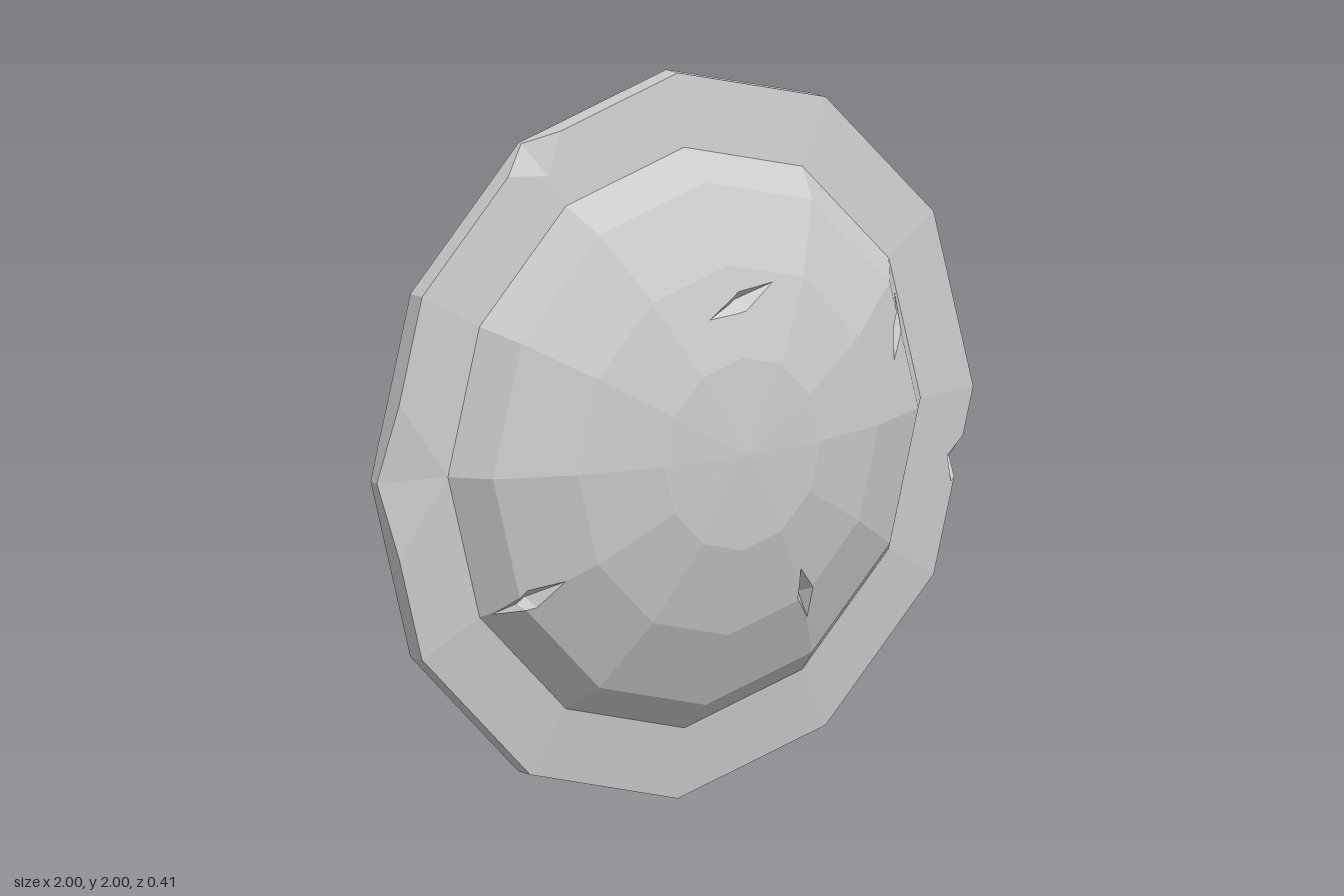
import * as THREE from 'three';

const material = new THREE.MeshStandardMaterial({ color: 0xcccccc, flatShading: true, side: THREE.DoubleSide });
const V = (x, y, z) => new THREE.Vector3(x, y, z);

// Mesh from a flat list of triangle corners
function meshFrom(corners, name) {
  const geo = new THREE.BufferGeometry().setFromPoints(corners);
  geo.computeVertexNormals();
  const mesh = new THREE.Mesh(geo, material);
  mesh.name = name;
  return mesh;
}

// Skin a row of equal cross-section loops and close both ends
function loft(rings, name) {
  const out = [], n = rings[0].length;
  for (let i = 0; i + 1 < rings.length; i++) {
    for (let j = 0; j < n; j++) {
      const k = (j + 1) % n, a = rings[i], b = rings[i + 1];
      out.push(a[j], a[k], b[k], a[j], b[k], b[j]);
    }
  }
  const first = rings[0], last = rings[rings.length - 1];
  for (let j = 1; j + 1 < n; j++) {
    out.push(first[0], first[j + 1], first[j], last[0], last[j], last[j + 1]);
  }
  return meshFrom(out, name);
}

// Split a convex polygon by the line f = 0 into its two sides
function split(poly, f) {
  const pos = [], neg = [];
  poly.forEach((p, i) => {
    const q = poly[(i + 1) % poly.length], a = f(p), b = f(q);
    if (a >= -1e-7) pos.push(p);
    if (a <= 1e-7) neg.push(p);
    if ((a > 1e-7 && b < -1e-7) || (a < -1e-7 && b > 1e-7)) {
      const m = p.clone().lerp(q, a / (a - b));
      pos.push(m);
      neg.push(m);
    }
  });
  return [pos, neg].filter((s) => s.length > 2);
}

// Battle marks: x, y (from the centre), angle, half length, half width, depth
const cuts = [
  [0.03, 0.41, 17, 0.12, 0.028, 0.035],
  [0.647, 0.235, 69, 0.09, 0.022, 0.04],
  [-0.595, -0.345, 31, 0.09, 0.03, 0.04],
  [0.262, -0.43, -67, 0.083, 0.03, 0.035],
  [0.945, -0.19, 70, 0.065, 0.04, 0.045],
  [-0.5, 0.866, 30, 0.14, 0.1, 0.04],
  [-1, 0, 90, 0.3, 0.2, 0.025],
].map(([x, y, deg, L, W, depth]) => {
  const c = Math.cos(deg * Math.PI / 180), s = Math.sin(deg * Math.PI / 180);
  const u = (p) => ((p.x - x) * c + (p.y - y) * s) / L;
  const v = (p) => ((p.y - y) * c - (p.x - x) * s) / W;
  const lines = [u, v];
  for (const a of [-1, 1]) for (const b of [-1, 1]) lines.push((p) => a * u(p) + b * v(p) - 1);
  return { lines, drop: (p) => depth * Math.max(0, 1 - Math.abs(u(p)) - Math.abs(v(p))) };
});

// Inner dome profile [radius, z], also followed by the strap
const inner = [[0, 0.168], [0.25, 0.152], [0.49, 0.085], [0.69, -0.01], [0.79, -0.1]];
function innerZ(r) {
  const i = Math.max(1, inner.findIndex((p) => p[0] >= r));
  const [r0, z0] = inner[i - 1], [r1, z1] = inner[i];
  return z0 + (z1 - z0) * (r - r0) / (r1 - r0);
}

// Twelve-sided shell with a stepped rim; marks are sliced in and sunk
function shieldBody() {
  const profile = [...inner, [0.82, -0.1], [0.83, -0.128], [0.86, -0.128], [0.875, -0.15],
    [1, -0.15], [1, -0.098], [0.8, -0.07], [0.72, 0.025], [0.51, 0.125], [0.265, 0.188], [0, 0.205]];
  const geo = new THREE.LatheGeometry(profile.map(([r, z]) => new THREE.Vector2(r, z)), 12)
    .rotateX(Math.PI / 2).toNonIndexed();
  const pos = geo.attributes.position, out = [];
  for (let i = 0; i < pos.count; i += 3) {
    const tri = [0, 1, 2].map((k) => V().fromBufferAttribute(pos, i + k));
    const normal = new THREE.Triangle(...tri).getNormal(V());
    if (normal.lengthSq() < 0.5) continue;
    let pieces = [tri];
    const front = normal.z > -0.05;
    if (front) {
      for (const cut of cuts) for (const f of cut.lines) pieces = pieces.flatMap((p) => split(p, f));
    }
    for (const piece of pieces) {
      const pts = piece.map((p) => {
        const q = p.clone();
        if (front && p.z > -0.14) for (const cut of cuts) q.z -= cut.drop(p);
        return q;
      });
      for (let j = 1; j + 1 < pts.length; j++) out.push(pts[0], pts[j], pts[j + 1]);
    }
  }
  return meshFrom(out, 'shieldBody');
}

// Metal strap hugging the inside of the dome: [y, half width]
function strap() {
  const half = [[0.745, 0.045], [0.715, 0.085], [0.66, 0.098], [0.61, 0.08], [0.565, 0.05],
    [0.49, 0.08], [0.25, 0.075]];
  const path = [...half.map(([y, w]) => [-y, w]), [0, 0.075], ...half.slice().reverse()];
  return loft(path.map(([y, w]) => {
    const z = innerZ(Math.abs(y)) - 0.004;
    return [V(w, y, z), V(w, y, z - 0.026), V(-w, y, z - 0.026), V(-w, y, z)];
  }), 'strap');
}

// Arched grip with flared lips: stations [y, z, width scale]
function grip() {
  const half = [[0.18, 0.16, 0.45], [0.225, 0.09, 0.5], [0.21, 0, 0.75], [0.145, -0.115, 0.95], [0.08, -0.165, 1]];
  const path = [...half, ...half.slice().reverse().map(([y, z, w]) => [-y, z, w])];
  const section = [[-0.165, 0], [0.165, 0], [0.19, 0.043], [0.23, -0.005],
    [0.17, -0.03], [-0.17, -0.03], [-0.23, -0.005], [-0.19, 0.043]];
  return loft(path.map(([y, z, w], i) => {
    const a = path[Math.max(0, i - 1)], b = path[Math.min(path.length - 1, i + 1)];
    const t = new THREE.Vector2(b[0] - a[0], b[1] - a[1]).normalize();
    return section.map(([x, n]) => V(x * w, y - t.y * n * w, z + t.x * n * w));
  }), 'grip');
}

export function createModel() {
  const model = new THREE.Group();
  model.name = 'shield';
  model.add(shieldBody(), strap(), grip());

  // Two hexagonal bolts on each end plate
  const boltGeo = new THREE.CylinderGeometry(0.024, 0.028, 0.035, 6).rotateX(-Math.PI / 2);
  for (const sy of [-1, 1]) {
    for (const sx of [-1, 1]) {
      const bolt = new THREE.Mesh(boltGeo, material);
      bolt.name = 'bolt';
      bolt.position.set(sx * 0.042, sy * 0.66, innerZ(0.66) - 0.038);
      bolt.rotation.x = sy * 0.42;
      model.add(bolt);
    }
  }
  model.position.y = 1;
  const root = new THREE.Group();
  root.add(model);
  return root;
}
